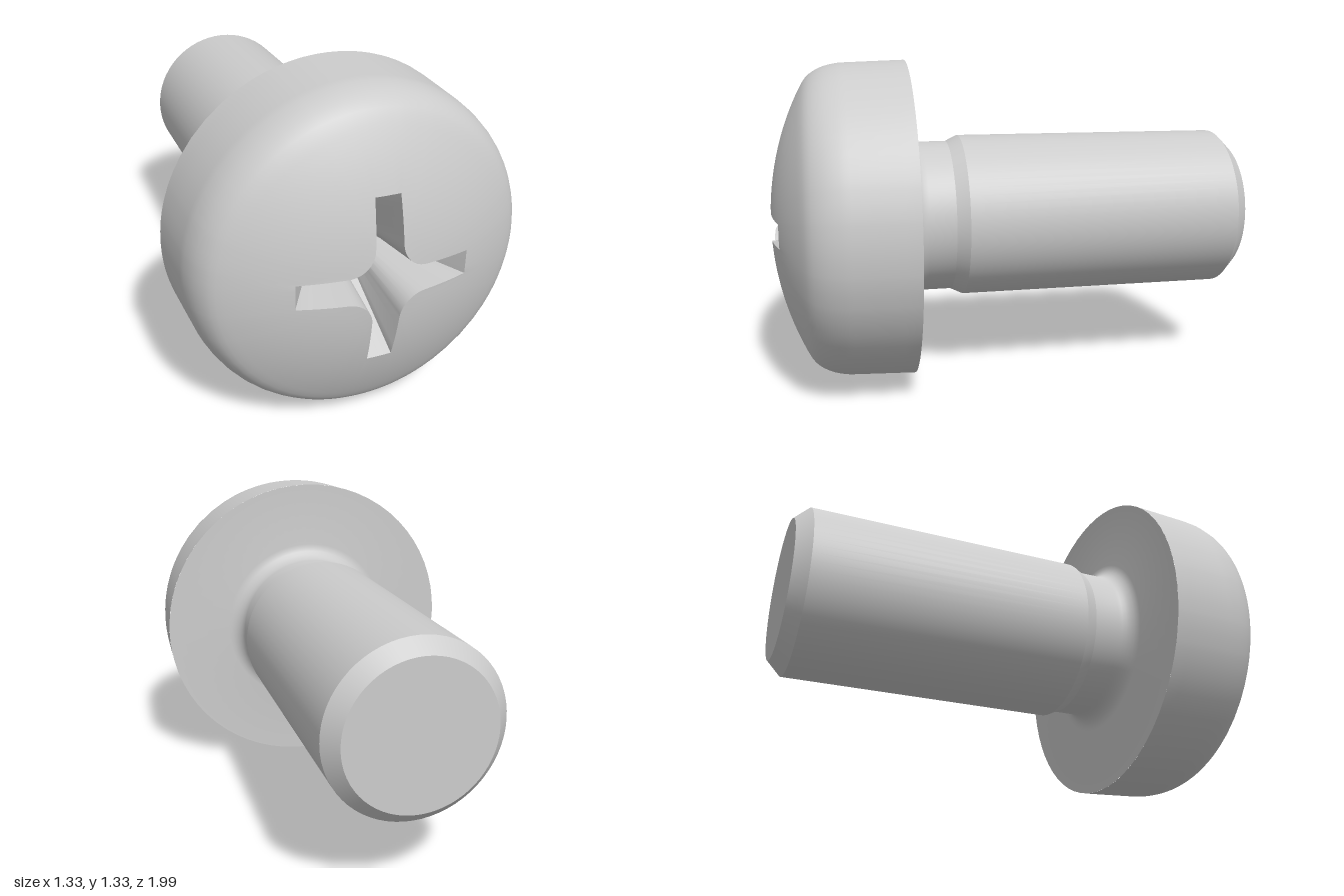
import * as THREE from 'three';
import { toCreasedNormals } from 'three/addons/utils/BufferGeometryUtils.js';

const HEAD_R = 0.665, HEAD_BACK = 0.435, FLOOR_Z = 0.52, DOME_R = 1.2;
const domeZ = (r) => 1 - DOME_R + Math.sqrt(DOME_R * DOME_R - r * r);

// Closed cross outline, counter-clockwise: arm tips, straight sides, rounded inner corners
function crossOutline(tip, tipHalf, root, rootHalf) {
  const quarter = [];
  const line = (x0, y0, x1, y1, n) => {
    for (let i = 0; i < n; i++) {
      quarter.push(new THREE.Vector2(x0 + (x1 - x0) * i / n, y0 + (y1 - y0) * i / n));
    }
  };
  line(tip, -tipHalf, tip, tipHalf, 4);
  line(tip, tipHalf, root, rootHalf, 4);
  const r = root - rootHalf;
  for (let i = 0; i < 10; i++) {
    const a = (i / 10) * Math.PI / 2;
    quarter.push(new THREE.Vector2(root - r * Math.sin(a), root - r * Math.cos(a)));
  }
  line(rootHalf, root, tipHalf, tip, 4);
  const all = [];
  for (let q = 0; q < 4; q++) {
    for (const p of quarter) all.push(p.clone().rotateAround(new THREE.Vector2(), q * Math.PI / 2));
  }
  return all;
}

// Skin between closed rings of equal length, listed from the axis outwards
function loft(rings, crease) {
  const n = rings[0].length, index = [];
  for (let i = 0; i < rings.length - 1; i++) {
    for (let j = 0; j < n; j++) {
      const k = (j + 1) % n;
      const a = i * n + j, b = i * n + k, c = (i + 1) * n + k, d = (i + 1) * n + j;
      index.push(a, d, c, a, c, b);
    }
  }
  const geo = new THREE.BufferGeometry().setFromPoints(rings.flat());
  geo.setIndex(index);
  return toCreasedNormals(geo, crease);
}

export function createModel() {
  const group = new THREE.Group();
  group.name = 'screw';
  const material = new THREE.MeshStandardMaterial({ color: 0xcccccc });
  const add = (name, geo) => {
    const mesh = new THREE.Mesh(geo, material);
    mesh.name = name;
    mesh.position.y = HEAD_R;
    group.add(mesh);
  };

  const outline = crossOutline(0.328, 0.048, 0.15, 0.053);
  const bottom = crossOutline(0.07, 0.028, 0.062, 0.032);
  const rim = outline.map((p) => new THREE.Vector3(p.x, p.y, domeZ(p.length())));

  // Tapered cross recess: flat floor, sloping walls up to the dome
  add('driveRecess', loft([
    bottom.map(() => new THREE.Vector3(0, 0, FLOOR_Z)),
    bottom.map((p) => new THREE.Vector3(p.x, p.y, FLOOR_Z)),
    rim,
  ], 0.5));

  // Head: dome from the recess edge outwards, then the rounded shoulder and side
  const rings = [rim];
  for (let i = 1; i <= 8; i++) {
    rings.push(outline.map((p) => {
      const r = THREE.MathUtils.lerp(p.length(), 0.54, i / 8);
      const q = p.clone().setLength(r);
      return new THREE.Vector3(q.x, q.y, domeZ(r));
    }));
  }
  const shoulder = new THREE.SplineCurve([
    [0.54, domeZ(0.54)], [0.595, 0.838], [0.632, 0.785], [0.651, 0.72], [0.656, 0.65], [HEAD_R, HEAD_BACK],
  ].map(([r, z]) => new THREE.Vector2(r, z)));
  for (const s of shoulder.getPoints(15).slice(1)) {
    rings.push(outline.map((p) => {
      const q = p.clone().setLength(s.x);
      return new THREE.Vector3(q.x, q.y, s.y);
    }));
  }
  add('head', loft(rings, 0.6));

  // Shank: chamfered end, body, undercut neck, fillet and underside of the head
  const profile = [[0, -1], [0.29, -1], [0.345, -0.942], [0.345, 0.21], [0.32, 0.262]];
  for (let i = 0; i <= 6; i++) {
    const a = (i / 6) * Math.PI / 2;
    profile.push([0.385 - 0.065 * Math.cos(a), HEAD_BACK - 0.065 + 0.065 * Math.sin(a)]);
  }
  profile.push([HEAD_R, HEAD_BACK]);
  // The underside faces backwards, so the whole profile runs from the tip to the head edge
  const shank = new THREE.LatheGeometry(profile.map(([r, z]) => new THREE.Vector2(r, z)), 64);
  shank.rotateX(Math.PI / 2);
  add('shank', toCreasedNormals(shank, 0.4));

  return group;
}
